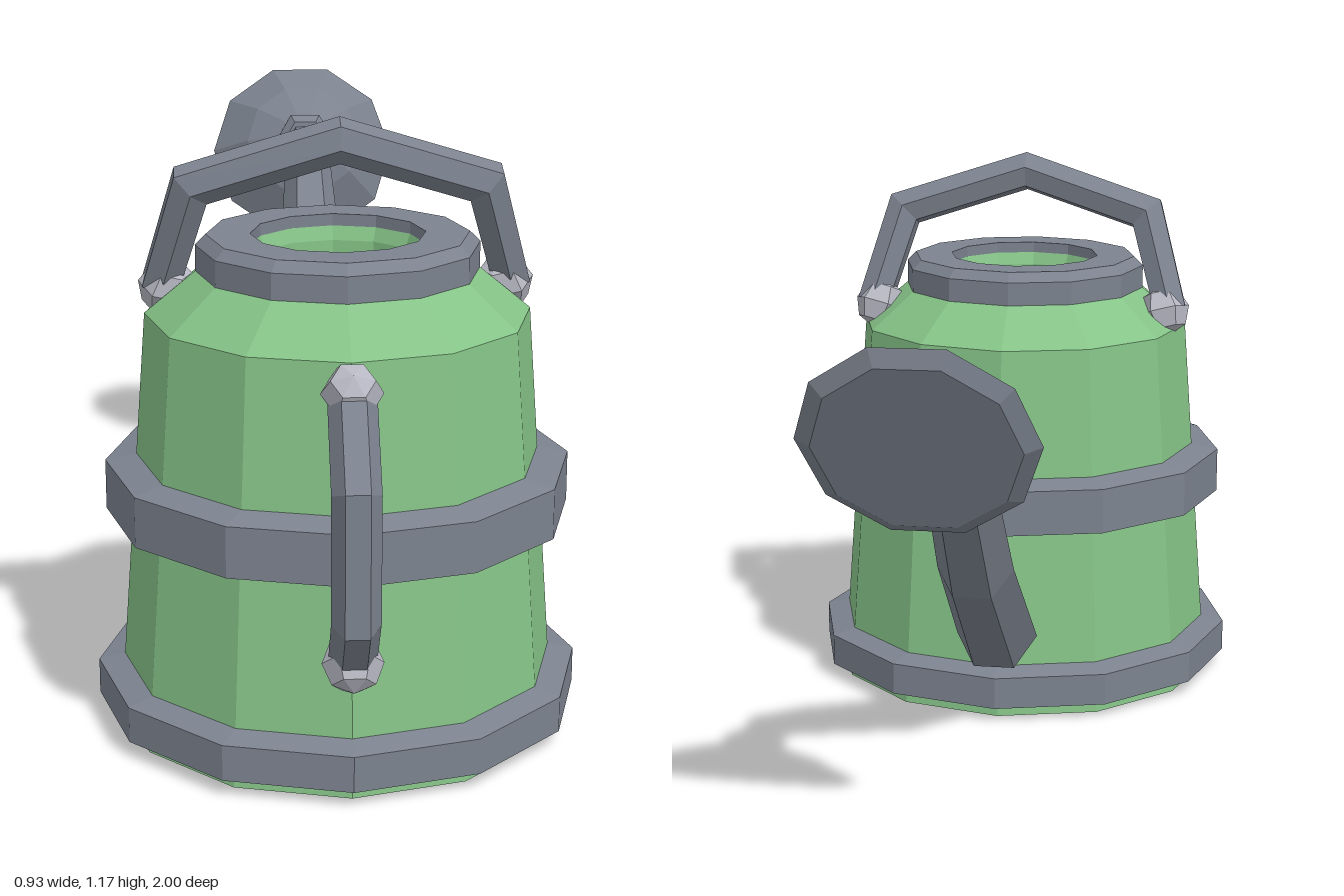
import * as THREE from 'three';

const material = (color) => new THREE.MeshStandardMaterial({ color, flatShading: true });
const V = (x, y, z) => new THREE.Vector3(x, y, z);

// Six-sided tube with mitred corners and closed ends; `ref` is the sideways axis of every ring.
function sweep(points, radii, ref, sides = 6) {
  const rings = points.map((p, i) => {
    const before = p.clone().sub(points[Math.max(i - 1, 0)]).normalize();
    const after = points[Math.min(i + 1, points.length - 1)].clone().sub(p).normalize();
    const t = before.clone().add(after).normalize();
    const inner = i > 0 && i < points.length - 1;
    const miter = inner ? 1 / Math.max(t.dot(after), 0.6) : 1;
    const side = ref.clone().addScaledVector(t, -ref.dot(t)).normalize();
    const up = t.clone().cross(side);
    return Array.from({ length: sides }, (_, k) => {
      const a = (k / sides) * Math.PI * 2;
      return p.clone()
        .addScaledVector(side, Math.cos(a) * radii[i])
        .addScaledVector(up, Math.sin(a) * radii[i] * miter);
    });
  });
  const tris = [];
  const last = rings.length - 1;
  for (let k = 0; k < sides; k++) {
    const n = (k + 1) % sides;
    for (let i = 0; i < last; i++) {
      const [a, b, c, d] = [rings[i][k], rings[i][n], rings[i + 1][n], rings[i + 1][k]];
      tris.push(a, b, c, a, c, d);
    }
    tris.push(points[0], rings[0][n], rings[0][k]);
    tris.push(points[last], rings[last][k], rings[last][n]);
  }
  const geometry = new THREE.BufferGeometry().setFromPoints(tris);
  geometry.computeVertexNormals();
  return geometry;
}

function lathe(profile, sides, start = 0) {
  return new THREE.LatheGeometry(profile.map(([r, y]) => new THREE.Vector2(r, y)), sides, start);
}

export function createModel() {
  const model = new THREE.Group();
  model.name = 'wateringCan';
  const green = material(0x86c488);
  const grey = material(0x7c838f);
  const pale = material(0xb6b7c2);
  const centreZ = 0.458;

  const add = (name, geometry, mat, x = 0, y = 0, z = 0) => {
    const mesh = new THREE.Mesh(geometry, mat);
    mesh.name = name;
    mesh.position.set(x, y, z);
    model.add(mesh);
    return mesh;
  };

  // Hollow tapered body with sloping shoulder
  add('body', lathe([
    [0, 0], [0.425, 0], [0.365, 0.8], [0.262, 0.885], [0.17, 0.94],
    [0.155, 0.9], [0.155, 0.4], [0, 0.4],
  ], 12), green, 0, 0, centreZ);

  // Bevelled metal bands around the body
  const band = (name, inner, outer, low, high) => add(name, lathe([
    [inner, low], [outer, low + 0.014], [outer, high - 0.014], [inner, high],
  ], 12), grey, 0, 0, centreZ);
  band('baseBand', 0.41, 0.467, 0.018, 0.115);
  band('middleBand', 0.38, 0.445, 0.4, 0.525);

  // Collar around the filling hole
  add('openingRim', lathe([
    [0.165, 0.88], [0.268, 0.88], [0.268, 0.93], [0.248, 0.95], [0.165, 0.95], [0.165, 0.88],
  ], 12), grey, 0, 0, centreZ);

  // Bent spout, its collar and sprinkler head
  const xAxis = V(1, 0, 0);
  add('spout', sweep([
    V(0, 0.19, 0.03), V(0, 0.432, -0.27), V(0, 0.71, -0.502), V(0, 0.882, -0.662), V(0, 0.9, -0.76),
  ], [0.087, 0.078, 0.067, 0.052, 0.045], xAxis), grey);
  add('spoutCollar', sweep([
    V(0, 0.905, -0.735), V(0, 0.902, -0.755), V(0, 0.895, -0.785), V(0, 0.885, -0.81),
  ], [0.05, 0.068, 0.068, 0.05], xAxis), grey);
  const head = add('sprinklerHead', lathe([
    [0, -0.135], [0.055, -0.13], [0.135, -0.085], [0.216, 0], [0.185, 0.02], [0, 0.02],
  ], 10, 0), grey, 0, 0.85, -0.905);
  head.geometry.rotateY(Math.PI / 2);
  head.rotation.x = -2.04;

  // Upright handle on the front
  add('frontHandle', sweep([
    V(0, 0.75, 0.84), V(0, 0.605, 0.962), V(0, 0.37, 0.962), V(0, 0.275, 0.885),
  ], [0.044, 0.044, 0.044, 0.044], xAxis), grey);

  // Carrying handle arched over the opening
  add('topHandle', sweep([
    V(-0.335, 0.84, 0.405), V(-0.275, 1.045, 0.472), V(0, 1.132, 0.5),
    V(0.275, 1.045, 0.472), V(0.335, 0.84, 0.405),
  ], [0.04, 0.042, 0.042, 0.042, 0.04], V(0, -0.3, 0.95)), grey);

  // Faceted knobs where the handles meet the body
  const knob = (name, x, y, z, tiltX, tiltZ) => {
    const mesh = add(name, new THREE.SphereGeometry(0.056, 6, 4), pale, x, y, z);
    mesh.rotation.set(tiltX, 0, tiltZ);
  };
  knob('frontHandleTopKnob', 0, 0.75, 0.84, 0.7, 0);
  knob('frontHandleBottomKnob', 0, 0.265, 0.885, -0.7, 0);
  for (const s of [-1, 1]) {
    knob(s > 0 ? 'leftHandleKnob' : 'rightHandleKnob', s * 0.322, 0.838, 0.405, 0.3, s * 0.25);
  }

  return model;
}
